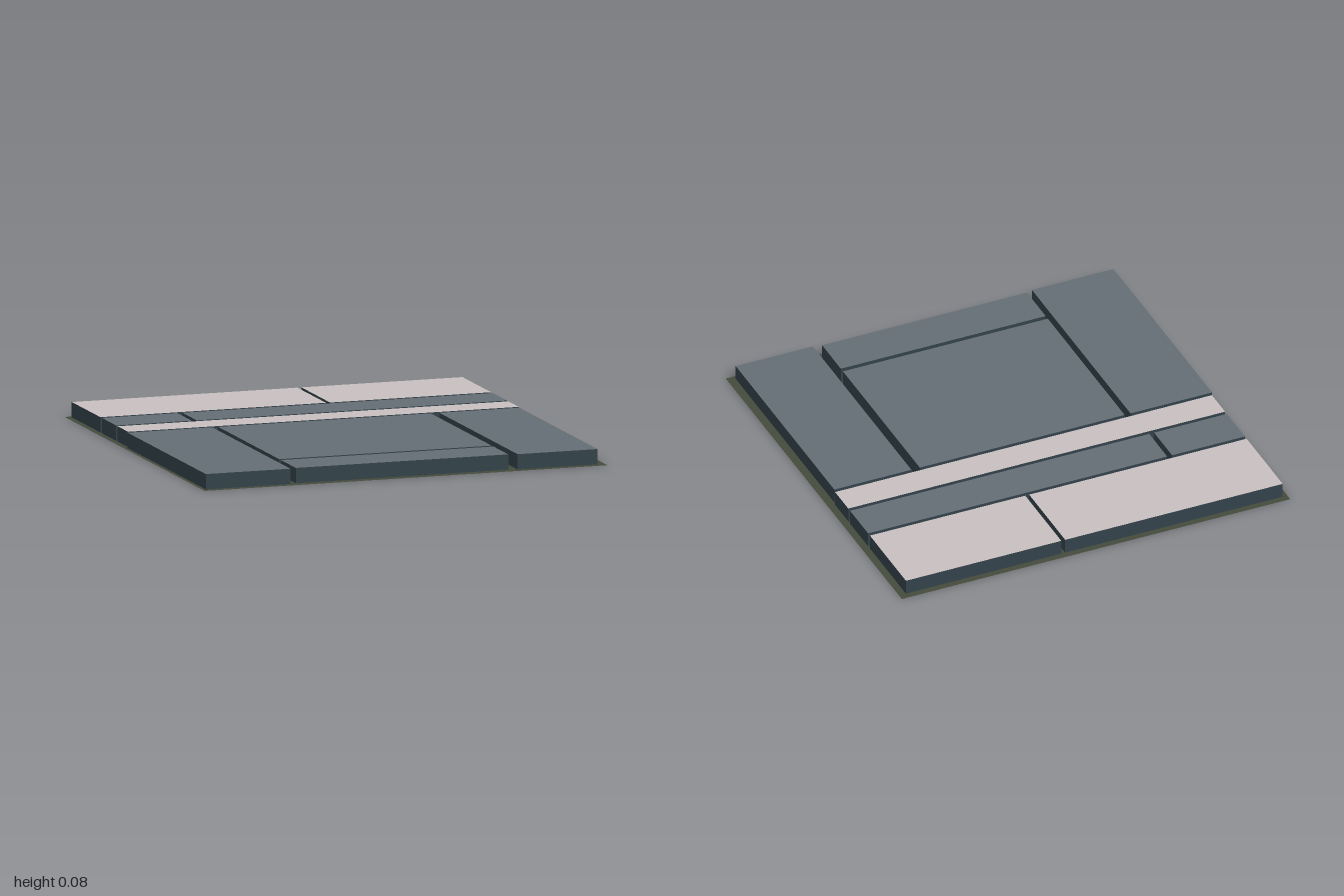
import * as THREE from 'three';

const HEIGHT = 0.075;
const LIFT = 0.002; // keeps block undersides clear of the base sheet

export function createModel() {
  const model = new THREE.Group();
  model.name = 'slabPanel';

  const mat = (name, color) => {
    const m = new THREE.MeshStandardMaterial({ color });
    m.name = name;
    return m;
  };
  const olive = mat('olive base', 0x444a3c);
  olive.side = THREE.DoubleSide;
  const dark = mat('dark slate sides', 0x33424a);
  const slate = mat('slate top', 0x646e74);
  const pink = mat('pale pink top', 0xc9c0c0);

  // Thin square base sheet
  const base = new THREE.Mesh(new THREE.PlaneGeometry(2, 2).rotateX(-Math.PI / 2), olive);
  base.name = 'baseSheet';
  model.add(base);

  // Raised slabs: dark sides, coloured top. [name, top, x0, x1, z0, z1]
  const slabs = [
    ['backLongSlab', pink, -0.975, 0.145, -0.97, -0.56],
    ['backShortSlab', pink, 0.165, 0.965, -0.97, -0.56],
    ['narrowShortSlab', slate, -0.975, -0.6, -0.54, -0.335],
    ['narrowLongSlab', slate, -0.575, 0.965, -0.54, -0.335],
    ['crossStrip', pink, -0.975, 0.965, -0.315, -0.165],
    ['rightSideSlab', slate, -0.985, -0.565, -0.145, 0.975],
    ['centreSlab', slate, -0.535, 0.52, -0.145, 0.728],
    ['frontStrip', slate, -0.535, 0.52, 0.752, 0.965],
    ['leftSideSlab', slate, 0.563, 0.96, -0.145, 0.975],
  ];
  for (const [name, top, x0, x1, z0, z1] of slabs) {
    const geo = new THREE.BoxGeometry(x1 - x0, HEIGHT - LIFT, z1 - z0);
    const slab = new THREE.Mesh(geo, [dark, dark, top, dark, dark, dark]);
    slab.position.set((x0 + x1) / 2, (HEIGHT + LIFT) / 2, (z0 + z1) / 2);
    slab.name = name;
    model.add(slab);
  }
  return model;
}
